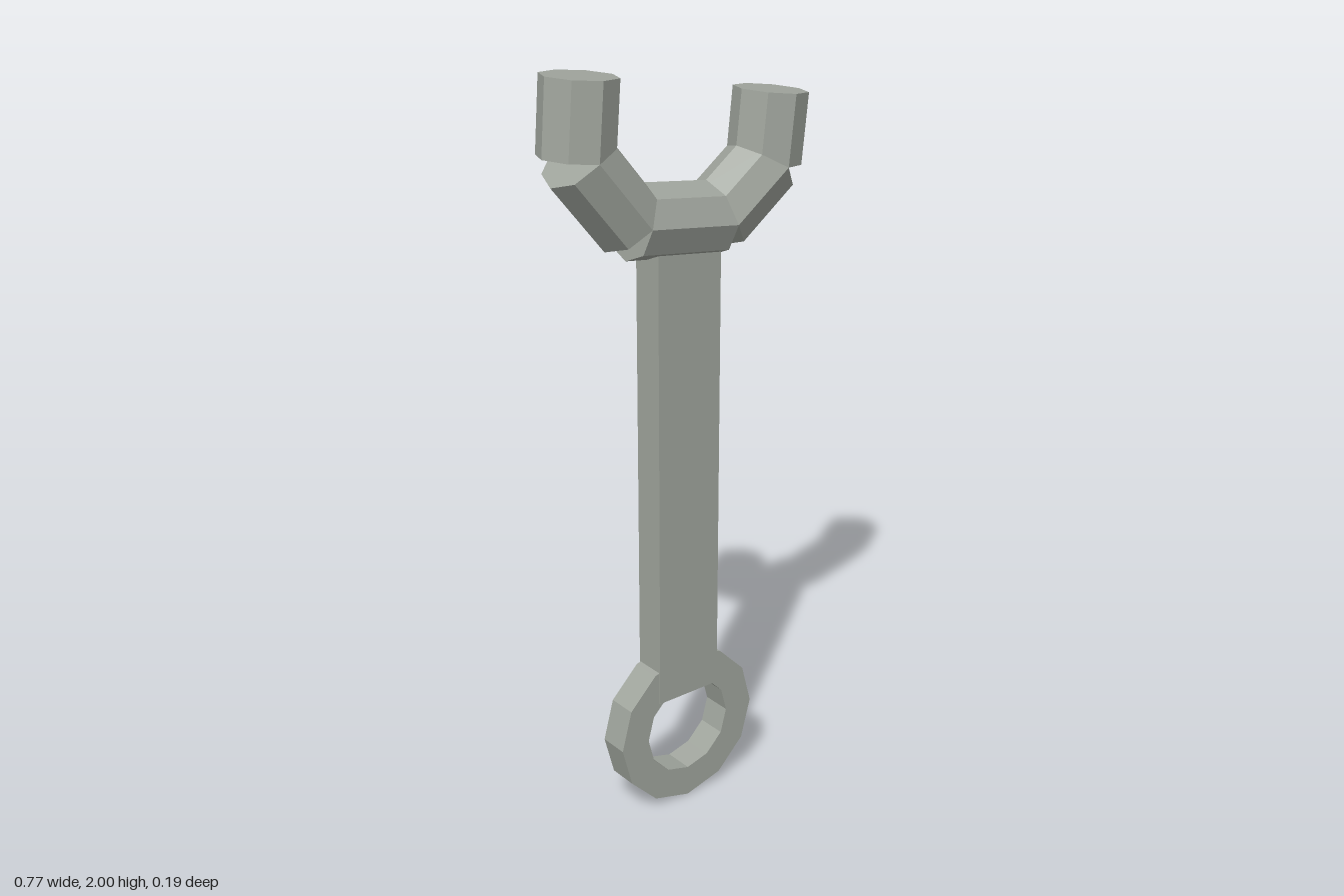
import * as THREE from 'three';

export function createModel() {
  const group = new THREE.Group();
  const steel = new THREE.MeshStandardMaterial({ color: 0xa0a59d, flatShading: true });
  steel.name = 'grey steel';

  const add = (name, geometry, x, y, z = 0) => {
    const mesh = new THREE.Mesh(geometry, steel);
    mesh.name = name;
    mesh.position.set(x, y, z);
    group.add(mesh);
    return mesh;
  };

  // Flat handle, running from inside the ring up into the jaw
  add('handle', new THREE.BoxGeometry(0.194, 1.28, 0.088), 0.005, 0.962);

  // Twelve-sided closed ring at the foot
  const corners = (radius) => Array.from({ length: 12 }, (_, i) =>
    new THREE.Vector2(radius * Math.cos(i * Math.PI / 6), radius * Math.sin(i * Math.PI / 6)));
  const ring = new THREE.Shape(corners(0.22));
  ring.holes.push(new THREE.Path(corners(0.134)));
  add('ring', new THREE.ExtrudeGeometry(ring, { depth: 0.082, bevelEnabled: false }), 0.005, 0.22, -0.041);

  // Open jaw: straight octagonal bars laid end to end along a bent axis
  const axis = [
    [-0.28, 1.992], [-0.294, 1.808], [-0.146, 1.633],
    [0.116, 1.603], [0.273, 1.721], [0.292, 1.898],
  ].map(([x, y]) => new THREE.Vector3(x, y, 0));
  const names = ['rightJawTip', 'rightJawArm', 'jawBase', 'leftJawArm', 'leftJawTip'];
  const up = new THREE.Vector3(0, 1, 0);
  names.forEach((name, i) => {
    const along = axis[i + 1].clone().sub(axis[i]);
    const middle = axis[i].clone().lerp(axis[i + 1], 0.5);
    const bar = add(name, new THREE.CylinderGeometry(0.094, 0.094, along.length(), 8), middle.x, middle.y);
    bar.quaternion.setFromUnitVectors(up, along.normalize());
  });

  return group;
}
